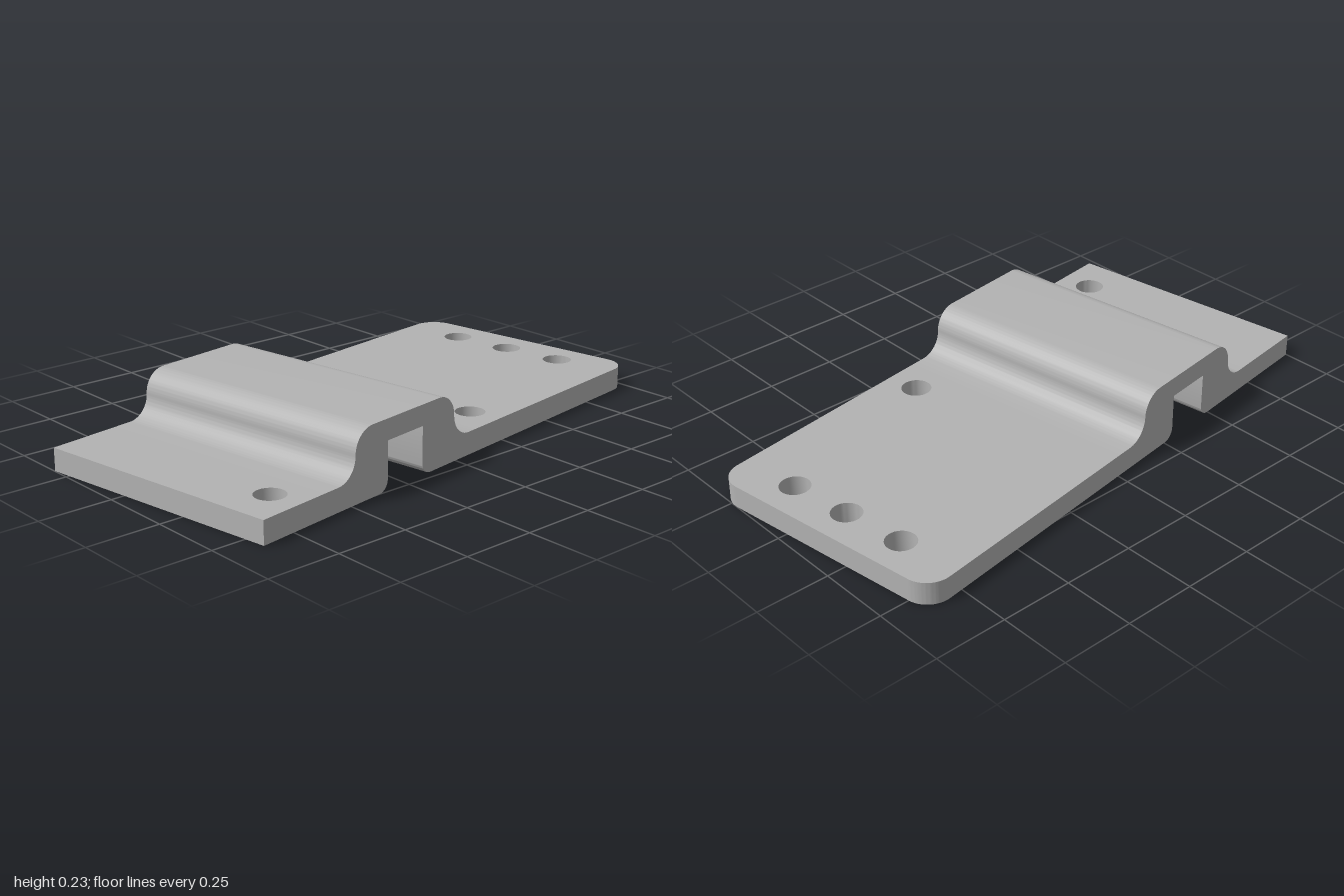
import * as THREE from 'three';
import { toCreasedNormals } from 'three/addons/utils/BufferGeometryUtils.js';

const LEFT = 0.443, RIGHT = -0.453;      // side edges of the strip
const BACK = -0.958, FRONT = 0.944;      // strip ends
const JOIN_BACK = -0.06, JOIN_FRONT = 0.7; // where the flat plates meet the raised channel
const T = 0.078, TOP = 0.232, BEND = 0.077;
const HOLE_R = 0.051, CORNER_R = 0.085;

export function createModel() {
  const steel = new THREE.MeshStandardMaterial({ color: 0xb3b3b3 });
  steel.name = 'grey steel';
  const model = new THREE.Group();
  model.name = 'bracket';

  const add = (name, shape, depth, place) => {
    const geometry = new THREE.ExtrudeGeometry(shape, { depth, bevelEnabled: false, curveSegments: 16 });
    place(geometry);
    const mesh = new THREE.Mesh(toCreasedNormals(geometry, 0.6), steel);
    mesh.name = name;
    model.add(mesh);
  };

  // Flat plate from z0 (back) to z1 (front), drilled; r rounds its back corners
  const addPlate = (name, z0, z1, r, holes) => {
    const s = new THREE.Shape();
    s.moveTo(RIGHT, -z1);
    s.lineTo(LEFT, -z1);
    if (r > 0) {
      s.lineTo(LEFT, -z0 - r);
      s.absarc(LEFT - r, -z0 - r, r, 0, Math.PI / 2, false);
      s.lineTo(RIGHT + r, -z0);
      s.absarc(RIGHT + r, -z0 - r, r, Math.PI / 2, Math.PI, false);
    } else {
      s.lineTo(LEFT, -z0);
      s.lineTo(RIGHT, -z0);
    }
    s.closePath();
    for (const [x, z] of holes) {
      const hole = new THREE.Path();
      hole.absarc(x, -z, HOLE_R, 0, Math.PI * 2, true);
      s.holes.push(hole);
    }
    add(name, s, T, (g) => g.rotateX(-Math.PI / 2));
  };

  addPlate('backPlate', BACK, JOIN_BACK, CORNER_R,
    [[-0.229, -0.837], [-0.004, -0.837], [0.22, -0.837], [0.327, -0.168]]);
  addPlate('frontPlate', JOIN_FRONT, FRONT, 0, [[0.325, 0.792]]);

  // Raised channel: side profile (z, y) with an open slot beneath
  const P = Math.PI, slotR = 0.04, arcY = T + BEND;
  const slotBack = 0.232, slotFront = 0.4, slotTop = 0.162;
  const wallBack = 0.073, wallFront = 0.55;
  const c = new THREE.Shape();
  c.moveTo(JOIN_BACK, 0);
  c.lineTo(slotBack - slotR, 0);
  c.absarc(slotBack - slotR, slotR, slotR, -P / 2, 0, false);
  c.lineTo(slotBack, slotTop);
  c.lineTo(slotFront, slotTop);
  c.lineTo(slotFront, slotR);
  c.absarc(slotFront + slotR, slotR, slotR, P, P * 1.5, false);
  c.lineTo(JOIN_FRONT, 0);
  c.lineTo(JOIN_FRONT, T);
  c.lineTo(wallFront + BEND, T);
  c.absarc(wallFront + BEND, arcY, BEND, P * 1.5, P, true);
  c.absarc(wallFront - BEND, arcY, BEND, 0, P / 2, false);
  c.lineTo(wallBack + BEND, TOP);
  c.absarc(wallBack + BEND, arcY, BEND, P / 2, P, false);
  c.absarc(wallBack - BEND, arcY, BEND, 0, -P / 2, true);
  c.lineTo(JOIN_BACK, T);
  c.closePath();
  add('raisedChannel', c, LEFT - RIGHT, (g) => g.rotateY(-P / 2).translate(LEFT, 0, 0));

  // The strip sits slightly turned about the vertical axis
  model.rotation.y = 0.1414;
  return model;
}
